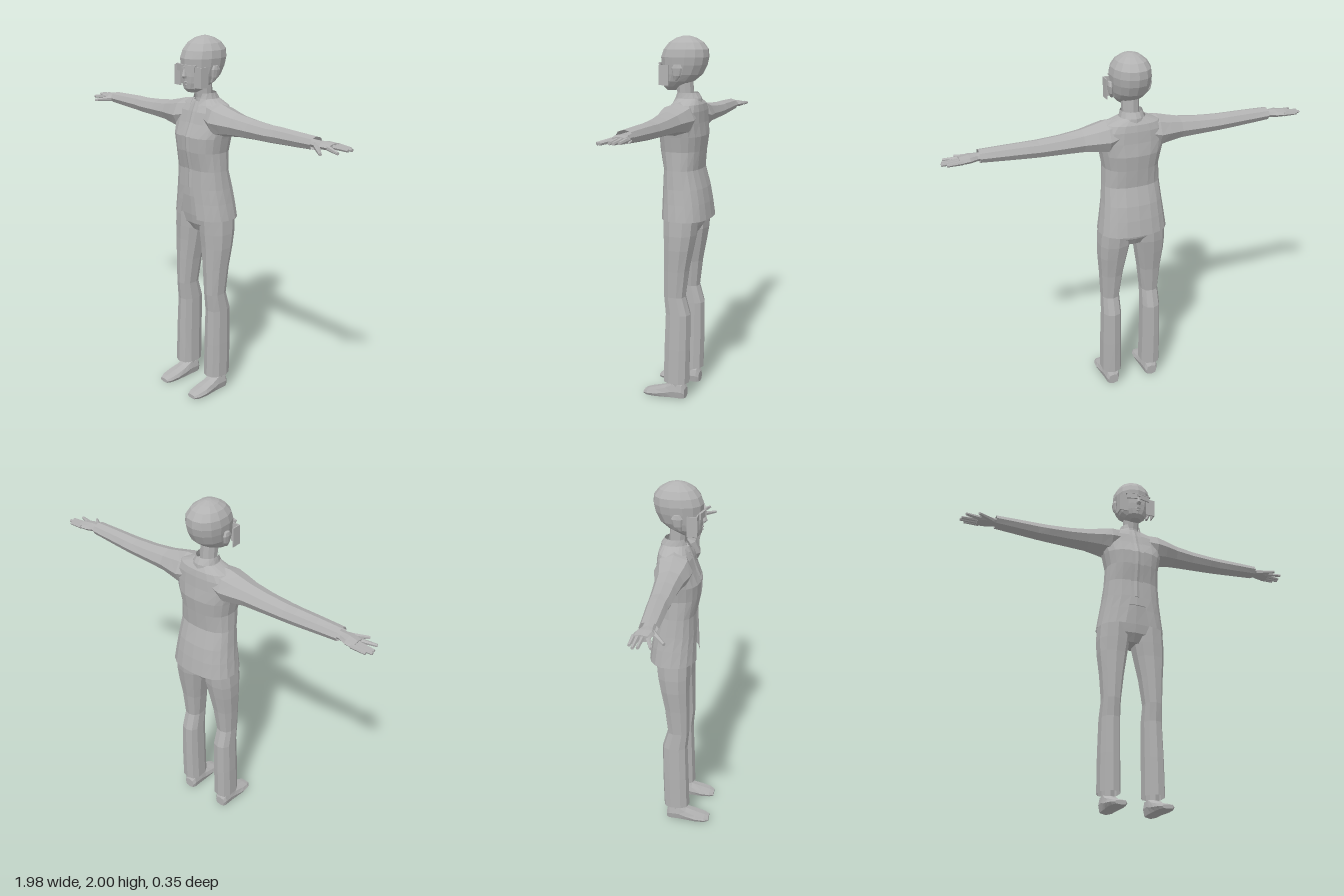
import * as THREE from 'three';

const grey = new THREE.MeshStandardMaterial({ color: 0xb2b2b2, flatShading: true, side: THREE.DoubleSide });
grey.name = 'grey';

// Skin rings along an axis. Row: [t, centreU, centreV, radiusU, radiusV, frontGap]
// axis y: u = z, v = x;  axis x: u = y, v = z;  axis z: u = x, v = y
function loft(rows, axis, { sides = 10, e = 1, open = false } = {}) {
  const pos = [], idx = [], n = sides + 1;
  const place = (t, u, v) => pos.push(...(axis === 'y' ? [v, t, u] : axis === 'x' ? [t, u, v] : [u, v, t]));
  const pw = (s) => Math.sign(s) * Math.pow(Math.abs(s), e);
  for (const [t, cu, cv, ru, rv, gap = 0] of rows) {
    const a0 = gap ? Math.asin(Math.pow(gap / rv, 1 / e)) : 0;
    for (let i = 0; i < n; i++) {
      const a = a0 + (Math.PI * 2 - 2 * a0) * i / sides;
      place(t, cu + ru * pw(Math.cos(a)), cv + rv * pw(Math.sin(a)));
    }
  }
  for (let r = 0; r < rows.length - 1; r++)
    for (let i = 0; i < sides; i++) {
      const a = r * n + i, b = a + n;
      idx.push(a, a + 1, b + 1, a, b + 1, b);
    }
  if (!open) {
    const last = rows.length - 1, c = pos.length / 3;
    for (const k of [0, last]) place(rows[k][0], rows[k][1], rows[k][2]);
    for (let i = 0; i < sides; i++)
      idx.push(c, i + 1, i, c + 1, last * n + i, last * n + i + 1);
  }
  const g = new THREE.BufferGeometry();
  g.setAttribute('position', new THREE.Float32BufferAttribute(pos, 3));
  g.setIndex(idx);
  g.computeVertexNormals();
  return g;
}

// Mirrored copy across x with the corner order restored
function mirror(geo) {
  const g = geo.clone().scale(-1, 1, 1), ix = g.index.array;
  for (let i = 0; i < ix.length; i += 3) [ix[i + 1], ix[i + 2]] = [ix[i + 2], ix[i + 1]];
  g.computeVertexNormals();
  return g;
}

// Tapered finger between two points
function finger(a, b, r0, r1) {
  const p = new THREE.Vector3(...a), d = new THREE.Vector3(...b).sub(p);
  const g = new THREE.CylinderGeometry(r1, r0, d.length(), 6).translate(0, d.length() / 2, 0);
  g.applyQuaternion(new THREE.Quaternion().setFromUnitVectors(new THREE.Vector3(0, 1, 0), d.normalize()));
  return g.translate(p.x, p.y, p.z);
}

export function createModel() {
  const model = new THREE.Group();
  const add = (name, geo) => {
    const m = new THREE.Mesh(geo, grey);
    m.name = name;
    model.add(m);
  };
  const pair = (name, geo) => {
    add(name + 'Left', geo);
    add(name + 'Right', mirror(geo));
  };
  const box = (w, h, d, x, y, z, ry = 0) => new THREE.BoxGeometry(w, h, d).rotateY(ry).translate(x, y, z);

  // Head and neck
  add('head', loft([
    [1.715, 0.055, 0, 0.025, 0.028], [1.735, 0.042, 0, 0.056, 0.055], [1.765, 0.016, 0, 0.088, 0.078],
    [1.8, -0.004, 0, 0.112, 0.09], [1.85, -0.017, 0, 0.124, 0.1], [1.89, -0.02, 0, 0.13, 0.105],
    [1.93, -0.026, 0, 0.121, 0.099], [1.965, -0.027, 0, 0.093, 0.078], [1.988, -0.027, 0, 0.055, 0.047],
    [2, -0.027, 0, 0.015, 0.013]], 'y', { sides: 14, e: 0.92 }));
  add('neck', loft([[1.62, -0.03, 0, 0.055, 0.055], [1.68, -0.025, 0, 0.045, 0.045], [1.78, -0.015, 0, 0.05, 0.048]], 'y'));

  // Face
  add('nose', loft([[1.79, 0.108, 0, 0.008, 0.012], [1.802, 0.11, 0, 0.018, 0.015],
    [1.825, 0.107, 0, 0.013, 0.009], [1.85, 0.103, 0, 0.008, 0.006]], 'y', { sides: 6 }));
  add('upperLip', loft([[-0.024, 1.768, 0.094, 0.002, 0.004], [0, 1.771, 0.102, 0.007, 0.009],
    [0.024, 1.768, 0.094, 0.002, 0.004]], 'x', { sides: 6 }));
  add('lowerLip', loft([[-0.02, 1.758, 0.09, 0.002, 0.004], [0, 1.755, 0.099, 0.008, 0.009],
    [0.02, 1.758, 0.09, 0.002, 0.004]], 'x', { sides: 6 }));
  pair('ear', loft([[1.77, 0, 0.092, 0.01, 0.008], [1.795, -0.01, 0.102, 0.022, 0.01],
    [1.835, -0.013, 0.107, 0.03, 0.011], [1.855, -0.013, 0.106, 0.018, 0.009]], 'y', { sides: 8 }));

  // Glasses and the plates hanging beside the cheeks
  pair('lens', box(0.06, 0.03, 0.008, 0.039, 1.84, 0.107, 0.25));
  pair('browBar', box(0.07, 0.007, 0.012, 0.041, 1.857, 0.106, 0.25));
  add('glassesBridge', box(0.022, 0.008, 0.008, 0, 1.846, 0.116));
  pair('cheekPlateFront', box(0.05, 0.105, 0.006, 0.08, 1.798, 0.087));
  pair('cheekPlateSide', box(0.006, 0.105, 0.053, 0.104, 1.798, 0.063));

  // Jacket, open at the front, flaring to the hem
  add('jacket', loft([
    [1.03, -0.042, 0, 0.132, 0.19, 0.068], [1.12, -0.038, 0, 0.125, 0.177, 0.052], [1.2, -0.032, 0, 0.117, 0.166, 0.035],
    [1.3, -0.02, 0, 0.1, 0.157, 0.035], [1.4, -0.015, 0, 0.115, 0.152, 0.035], [1.48, -0.018, 0, 0.122, 0.168, 0.035],
    [1.55, -0.028, 0, 0.103, 0.185, 0.034], [1.61, -0.035, 0, 0.092, 0.178, 0.034],
    [1.645, -0.042, 0, 0.078, 0.145, 0.032], [1.675, -0.043, 0, 0.058, 0.07, 0.03]],
  'y', { sides: 18, e: 0.82, open: true }));
  add('shirt', loft([
    [1.15, -0.035, 0, 0.112, 0.16], [1.2, -0.032, 0, 0.108, 0.155], [1.3, -0.02, 0, 0.092, 0.147],
    [1.4, -0.015, 0, 0.107, 0.142], [1.48, -0.018, 0, 0.114, 0.155], [1.55, -0.028, 0, 0.095, 0.165],
    [1.61, -0.035, 0, 0.083, 0.15], [1.66, -0.03, 0, 0.058, 0.06]], 'y', { sides: 14, e: 0.82 }));
  add('placket', loft([
    [1.2, 0.077, 0, 0.006, 0.015], [1.3, 0.073, 0, 0.006, 0.015], [1.4, 0.093, 0, 0.006, 0.015],
    [1.48, 0.097, 0, 0.006, 0.015], [1.55, 0.068, 0, 0.006, 0.015], [1.61, 0.049, 0, 0.006, 0.015],
    [1.66, 0.028, 0, 0.006, 0.013]], 'y', { sides: 4 }));
  add('collar', loft([[1.64, -0.033, 0, 0.083, 0.085, 0.03], [1.675, -0.04, 0, 0.072, 0.066, 0.028],
    [1.705, -0.035, 0, 0.058, 0.058, 0.032]], 'y', { sides: 12, open: true }));

  // Sleeves with open cuffs
  pair('sleeve', loft([
    [0.08, 1.585, -0.03, 0.078, 0.085], [0.14, 1.572, -0.025, 0.087, 0.1], [0.2, 1.57, -0.024, 0.073, 0.09],
    [0.27, 1.567, -0.025, 0.06, 0.074], [0.38, 1.563, -0.028, 0.051, 0.064], [0.5, 1.561, -0.028, 0.045, 0.058],
    [0.56, 1.563, -0.03, 0.044, 0.054], [0.68, 1.565, -0.027, 0.039, 0.05], [0.8, 1.567, -0.025, 0.033, 0.046]],
  'x', { sides: 8, open: true }));

  // Hands: palm with three fingers together, free index finger and thumb
  pair('palm', loft([
    [0.74, 1.565, -0.027, 0.02, 0.03], [0.81, 1.565, -0.027, 0.019, 0.032], [0.85, 1.566, -0.033, 0.02, 0.047],
    [0.9, 1.565, -0.042, 0.017, 0.043]], 'x', { sides: 8 }));
  [[-0.075, 0.965, 0.012], [-0.056, 0.99, 0.013], [-0.034, 0.985, 0.012]].forEach(([z, x, r], i) =>
    pair('finger' + (i + 1), finger([0.885, 1.566, z], [x, 1.563, z - 0.003], r, 0.008)));
  pair('indexFinger', finger([0.88, 1.564, -0.012], [0.97, 1.556, 0.018], 0.013, 0.008));
  pair('thumb', finger([0.82, 1.56, -0.005], [0.905, 1.547, 0.062], 0.016, 0.008));

  // Trousers
  add('hips', loft([[0.945, -0.033, 0, 0.06, 0.09], [0.99, -0.033, 0, 0.088, 0.17], [1.04, -0.035, 0, 0.098, 0.183],
    [1.16, -0.033, 0, 0.105, 0.155]], 'y', { sides: 14, e: 0.85 }));
  pair('trouserLeg', loft([
    [0.1, -0.015, 0.122, 0.074, 0.058], [0.3, -0.02, 0.122, 0.074, 0.056], [0.5, -0.024, 0.119, 0.071, 0.053],
    [0.6, -0.005, 0.118, 0.061, 0.05], [0.75, -0.014, 0.113, 0.07, 0.064], [0.87, -0.026, 0.108, 0.081, 0.08],
    [0.95, -0.032, 0.102, 0.09, 0.088], [1.04, -0.035, 0.098, 0.095, 0.087]], 'y', { sides: 10, e: 0.8, open: true }));

  // Ankles and shoes
  pair('ankle', loft([[0.05, -0.02, 0.122, 0.04, 0.036], [0.2, -0.02, 0.122, 0.04, 0.036]], 'y', { sides: 8 }));
  pair('shoe', loft([
    [-0.07, 0.122, 0.035, 0.03, 0.03], [-0.055, 0.122, 0.046, 0.04, 0.046], [0, 0.122, 0.046, 0.043, 0.046],
    [0.04, 0.123, 0.034, 0.045, 0.034], [0.1, 0.125, 0.024, 0.05, 0.024], [0.15, 0.125, 0.017, 0.044, 0.017],
    [0.175, 0.124, 0.013, 0.03, 0.011]], 'z', { sides: 8, e: 0.6 }));
  return model;
}
